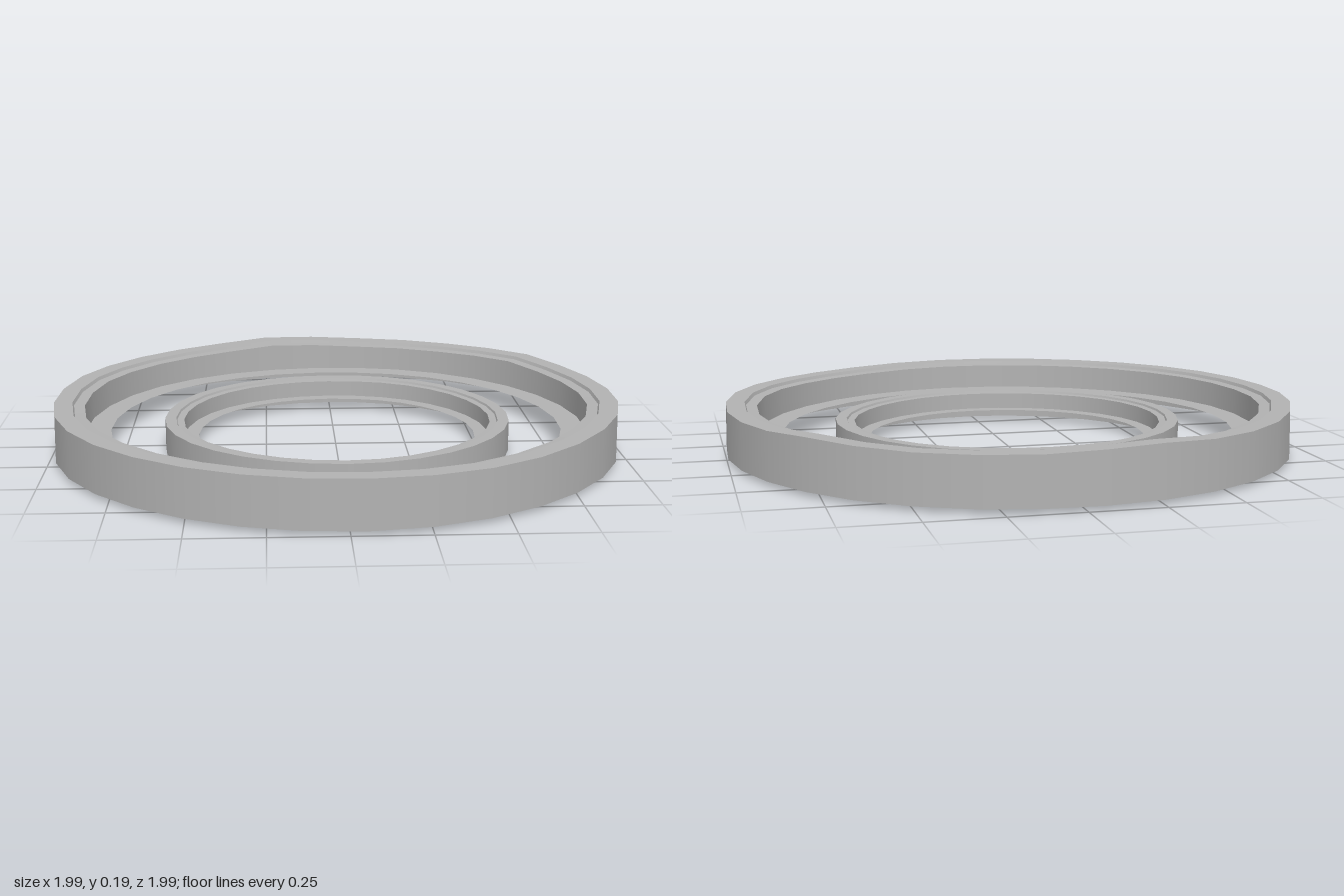
import * as THREE from 'three';

const grey = new THREE.MeshStandardMaterial({ color: 0xb2b2b2, side: THREE.DoubleSide });
grey.name = 'plain grey';

// Slight hand-made waviness of the rim: [angle, height, width]
const bumps = [[3.35, 0.013, 0.2], [2.25, 0.01, 0.18], [0.5, -0.004, 0.3], [4.4, 0.005, 0.25], [1.2, 0.005, 0.25]];
const rimWave = (a) => bumps.reduce((sum, [at, h, w]) => {
  const d = Math.atan2(Math.sin(a - at), Math.cos(a - at));
  return sum + h * Math.exp(-((d / w) ** 2));
}, 0);

// A ring of thin bands; each band is smooth around and sharp against its neighbours
function makeRing(name, profile, names, segments, phase, wave) {
  const ring = new THREE.Group();
  ring.name = name;
  for (let i = 0; i < names.length; i++) {
    const points = [profile[i], profile[i + 1]].map(([r, y]) => new THREE.Vector2(r, y));
    const geo = new THREE.LatheGeometry(points, segments, phase);
    const pos = geo.attributes.position;
    for (let v = 0; v < pos.count; v++) {
      const x = pos.getX(v), z = pos.getZ(v), y = pos.getY(v);
      const a = Math.atan2(x, z);
      const k = 1 + 0.003 * Math.sin(5 * a + 1) - 0.003;
      pos.setXYZ(v, x * k, y > 0.15 ? y + wave * rimWave(a) : y, z * k);
    }
    const mesh = new THREE.Mesh(geo, grey);
    mesh.name = names[i];
    ring.add(mesh);
  }
  return ring;
}

export function createModel() {
  const model = new THREE.Group();
  model.name = 'ringPair';
  const bands = ['outerWall', 'topRim', 'rimStep', 'lowerRim', 'innerWall', 'ledge'];

  // Large ring, open underneath
  model.add(makeRing('largeRing',
    [[1.002, 0.015], [1, 0.178], [0.935, 0.178], [0.93, 0.167], [0.892, 0.165], [0.89, 0.075], [0.803, 0.075]],
    bands, 32, 0.06, 1));

  // Small ring, standing slightly lower
  const small = makeRing('smallRing',
    [[0.614, 0], [0.614, 0.11], [0.575, 0.11], [0.572, 0.103], [0.547, 0.102], [0.546, 0.044], [0.495, 0.044]],
    bands, 32, 0.02, 0);
  small.position.set(0.003, 0, 0.01);
  model.add(small);

  return model;
}
